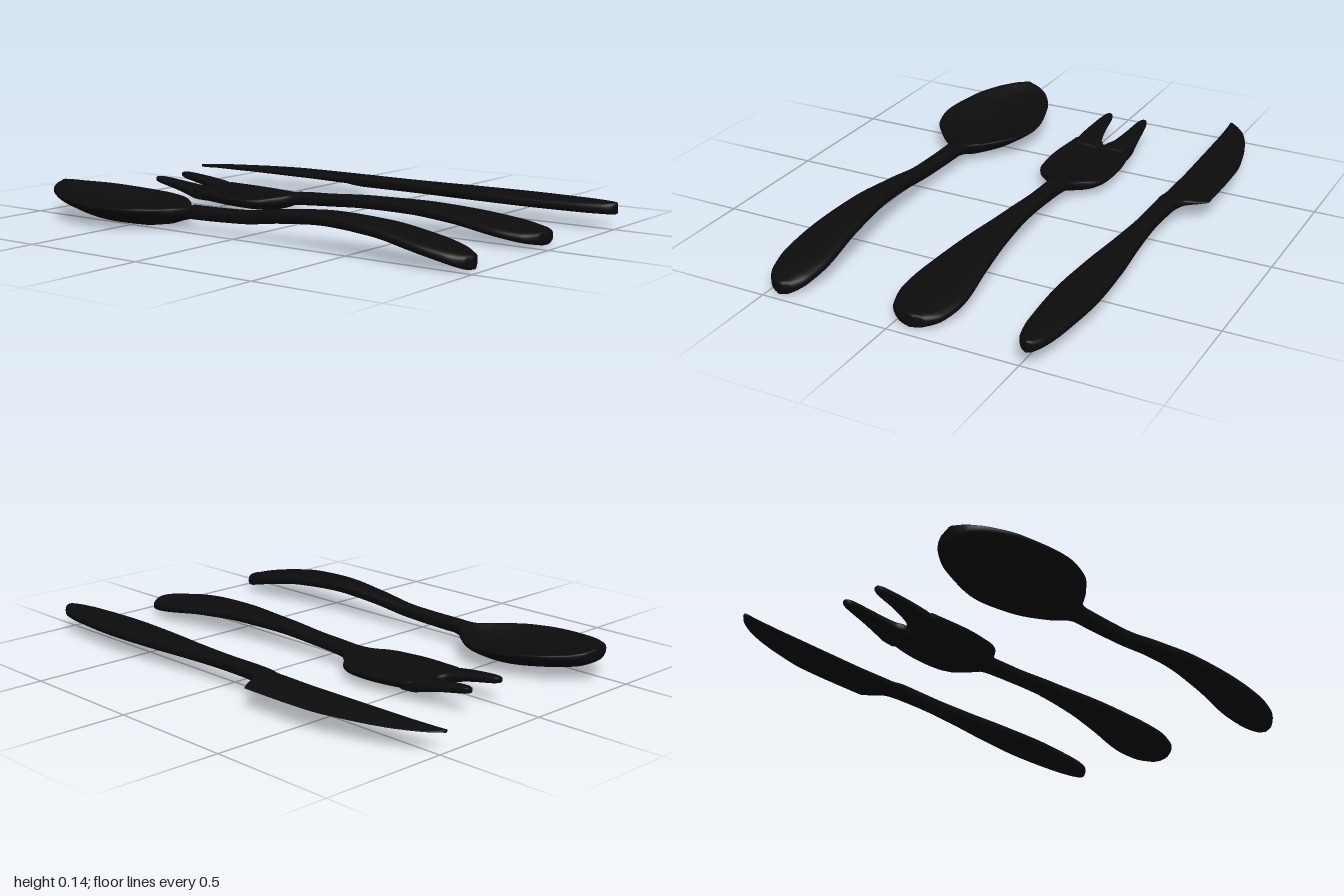
import * as THREE from 'three';

const material = new THREE.MeshStandardMaterial({ color: 0x0c0c0c });
const SEG = 40;
const STEPS = 6;

// Monotone cubic interpolation of one column between stations i and i + 1
function interpolate(rows, i, t, col) {
  const slope = k => (rows[k + 1][col] - rows[k][col]) / (rows[k + 1][0] - rows[k][0]);
  const tangent = k => {
    if (k === 0) return slope(0);
    if (k === rows.length - 1) return slope(k - 1);
    const a = slope(k - 1), b = slope(k);
    return a * b <= 0 ? 0 : (2 * a * b) / (a + b);
  };
  const h = rows[i + 1][0] - rows[i][0];
  const t2 = t * t, t3 = t2 * t;
  return rows[i][col] * (2 * t3 - 3 * t2 + 1) + rows[i + 1][col] * (3 * t2 - 2 * t3)
    + h * (tangent(i) * (t3 - 2 * t2 + t) + tangent(i + 1) * (t3 - t2));
}

// Loft along x. Station: [x, back z, front z, centre y, half thickness, sag of the middle, thinning to the back]
function loft(name, rows, power = 0.75) {
  const stations = [];
  for (let i = 0; i < rows.length - 1; i++)
    for (let s = 0; s < STEPS; s++)
      stations.push(rows[i].map((_, c) => interpolate(rows, i, s / STEPS, c)));
  stations.push(rows[rows.length - 1]);

  const pos = [], index = [];
  const round = v => Math.sign(v) * Math.pow(Math.abs(v), power);
  for (const [x, z0, z1, y, thick, sag, taper] of stations) {
    for (let j = 0; j < SEG; j++) {
      const a = (j / SEG) * Math.PI * 2;
      const u = round(Math.cos(a)), v = round(Math.sin(a));
      const t = thick * (1 - taper * (1 - u) / 2);
      pos.push(x, y + t * v - sag * (1 - u * u), (z0 + z1) / 2 + u * (z1 - z0) / 2);
    }
  }
  const n = stations.length;
  for (let i = 0; i < n - 1; i++) {
    for (let j = 0; j < SEG; j++) {
      const k = (j + 1) % SEG;
      const a = i * SEG + j, b = a + SEG, c = (i + 1) * SEG + k, d = i * SEG + k;
      index.push(a, b, c, a, c, d);
    }
  }
  // End caps
  [0, n - 1].forEach((i, end) => {
    const [x, z0, z1, y, , sag] = stations[i];
    const centre = pos.length / 3;
    pos.push(x, y - sag, (z0 + z1) / 2);
    for (let j = 0; j < SEG; j++) {
      const p = i * SEG + j, q = i * SEG + (j + 1) % SEG;
      if (end) index.push(centre, q, p);
      else index.push(centre, p, q);
    }
  });
  const geometry = new THREE.BufferGeometry();
  geometry.setAttribute('position', new THREE.Float32BufferAttribute(pos, 3));
  geometry.setIndex(index);
  geometry.computeVertexNormals();
  const mesh = new THREE.Mesh(geometry, material);
  mesh.name = name;
  return mesh;
}

// Stations that are symmetric about z: [x, half width, centre y, half thickness, sag]
const symmetric = (z, rows) => rows.map(([x, w, y, t, sag = 0]) => [x, z - w, z + w, y, t, sag, 0]);

function makeSpoon() {
  return loft('spoon', symmetric(0.445, [
    [-0.914, 0.02, 0.112, 0.022, 0],
    [-0.9, 0.062, 0.111, 0.025, 0.008],
    [-0.85, 0.118, 0.108, 0.024, 0.03],
    [-0.75, 0.174, 0.1, 0.022, 0.048],
    [-0.57, 0.213, 0.086, 0.021, 0.06],
    [-0.45, 0.186, 0.082, 0.02, 0.058],
    [-0.35, 0.115, 0.078, 0.021, 0.042],
    [-0.28, 0.047, 0.073, 0.025, 0.012],
    [-0.23, 0.034, 0.072, 0.026],
    [0, 0.032, 0.078, 0.025],
    [0.2, 0.042, 0.101, 0.025],
    [0.4, 0.06, 0.115, 0.025],
    [0.6, 0.08, 0.105, 0.025],
    [0.8, 0.095, 0.072, 0.026],
    [0.9, 0.08, 0.05, 0.027],
    [0.96, 0.043, 0.034, 0.027],
    [0.977, 0.012, 0.032, 0.022],
  ]));
}

function makeFork() {
  const fork = new THREE.Group();
  fork.name = 'fork';
  const z = -0.07;
  // Head and handle
  fork.add(loft('forkBody', symmetric(z, [
    [-0.585, 0.128, 0.065, 0.024, 0.024],
    [-0.4, 0.15, 0.056, 0.025, 0.022],
    [-0.3, 0.143, 0.053, 0.025, 0.02],
    [-0.25, 0.124, 0.053, 0.026, 0.016],
    [-0.2, 0.073, 0.057, 0.026, 0.008],
    [-0.15, 0.042, 0.064, 0.025],
    [-0.1, 0.037, 0.068, 0.025],
    [0, 0.036, 0.073, 0.024],
    [0.2, 0.046, 0.084, 0.024],
    [0.4, 0.069, 0.086, 0.024],
    [0.6, 0.097, 0.076, 0.024],
    [0.8, 0.121, 0.053, 0.025],
    [0.9, 0.1, 0.039, 0.026],
    [0.95, 0.055, 0.034, 0.026],
    [0.962, 0.014, 0.033, 0.022],
  ])));
  // Two tines, mirrored: [x, inner offset, outer offset, centre y, half thickness]
  const tine = [
    [-0.82, 0.068, 0.09, 0.092, 0.01],
    [-0.8, 0.06, 0.097, 0.09, 0.014],
    [-0.7, 0.045, 0.113, 0.077, 0.018],
    [-0.62, 0.026, 0.124, 0.062, 0.022],
    [-0.585, 0.004, 0.128, 0.054, 0.024],
    [-0.54, 0.004, 0.131, 0.051, 0.022],
  ];
  for (const side of [1, -1]) {
    fork.add(loft(side > 0 ? 'frontTine' : 'backTine', tine.map(([x, a, b, y, t]) =>
      [x, z + Math.min(side * a, side * b), z + Math.max(side * a, side * b), y, t, 0, 0])));
  }
  return fork;
}

function makeKnife() {
  // Wedge-shaped blade running into a rounded handle
  return loft('knife', [
    [-1, -0.482, -0.467, 0.078, 0.007, 0, 0.5],
    [-0.97, -0.515, -0.47, 0.078, 0.009, 0, 0.6],
    [-0.92, -0.552, -0.474, 0.079, 0.01, 0, 0.7],
    [-0.85, -0.586, -0.478, 0.079, 0.012, 0, 0.75],
    [-0.7, -0.633, -0.483, 0.08, 0.015, 0, 0.8],
    [-0.55, -0.66, -0.487, 0.08, 0.018, 0, 0.8],
    [-0.4, -0.664, -0.49, 0.08, 0.02, 0, 0.8],
    [-0.245, -0.663, -0.489, 0.08, 0.023, 0, 0.8],
    [-0.225, -0.642, -0.488, 0.08, 0.023, 0, 0.7],
    [-0.19, -0.585, -0.484, 0.08, 0.024, 0, 0.3],
    [-0.14, -0.563, -0.486, 0.08, 0.025, 0, 0],
    [0, -0.558, -0.487, 0.08, 0.025, 0, 0],
    [0.2, -0.572, -0.474, 0.08, 0.025, 0, 0],
    [0.4, -0.594, -0.454, 0.08, 0.025, 0, 0],
    [0.62, -0.606, -0.443, 0.08, 0.025, 0, 0],
    [0.85, -0.59, -0.457, 0.08, 0.025, 0, 0],
    [0.95, -0.57, -0.477, 0.08, 0.024, 0, 0],
    [0.99, -0.548, -0.5, 0.08, 0.023, 0, 0],
    [1, -0.53, -0.517, 0.08, 0.02, 0, 0],
  ]);
}

export function createModel() {
  const group = new THREE.Group();
  group.name = 'cutlerySet';
  group.add(makeKnife(), makeFork(), makeSpoon());
  return group;
}
